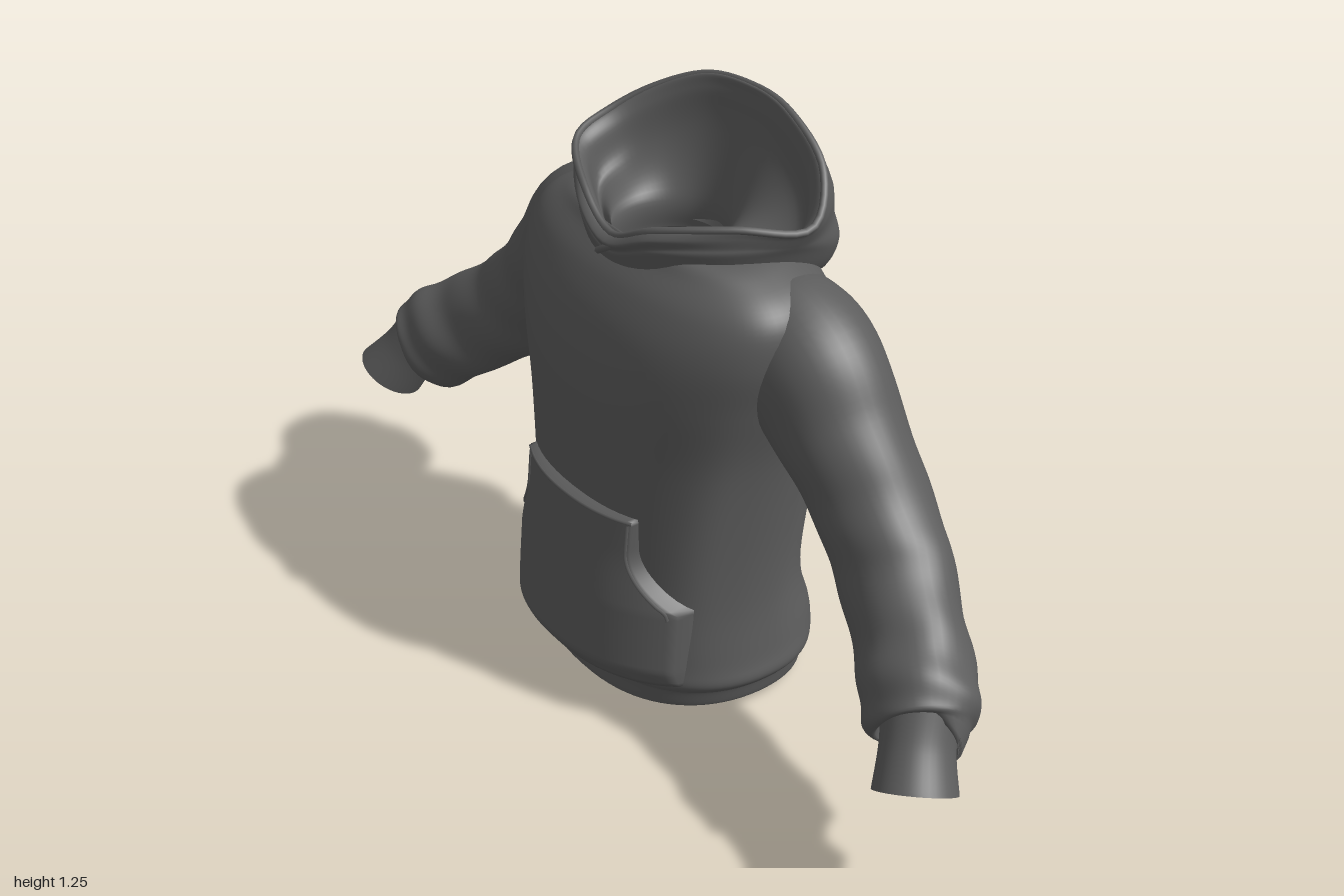
import * as THREE from 'three';

const V = (x, y, z) => new THREE.Vector3(x, y, z);
const fabric = new THREE.MeshStandardMaterial({ color: 0x5c5c5c, side: THREE.DoubleSide });
fabric.name = 'charcoal fabric';

// Catmull-Rom interpolation through rows of numbers
function mix(rows, t) {
  const f = t * (rows.length - 1), i = Math.min(Math.floor(f), rows.length - 2), u = f - i;
  const p = k => rows[Math.max(0, Math.min(rows.length - 1, i + k))];
  return rows[0].map((_, n) => {
    const a = p(-1)[n], b = p(0)[n], c = p(1)[n], d = p(2)[n];
    return 0.5 * (2 * b + (c - a) * u + (2 * a - 5 * b + 4 * c - d) * u * u + (3 * b - a - 3 * c + d) * u ** 3);
  });
}

// Skin a surface over rings of points
function loft(name, rings, closed = true) {
  const n = rings[0].length, idx = [];
  for (let j = 0; j < rings.length - 1; j++) {
    for (let i = 0; i < (closed ? n : n - 1); i++) {
      const a = j * n + i, b = j * n + (i + 1) % n;
      idx.push(a, b, a + n, b, b + n, a + n);
    }
  }
  const g = new THREE.BufferGeometry().setFromPoints(rings.flat());
  g.setIndex(idx);
  g.computeVertexNormals();
  const mesh = new THREE.Mesh(g, fabric);
  mesh.name = name;
  return mesh;
}

function seam(name, points, radius, closed = false) {
  const curve = new THREE.CatmullRomCurve3(points, closed);
  const mesh = new THREE.Mesh(new THREE.TubeGeometry(curve, 72, radius, 6, closed), fabric);
  mesh.name = name;
  return mesh;
}

const range = (n, fn) => Array.from({ length: n + 1 }, (_, i) => fn(i / n, i));
const POWER = 2.3, MID = 0.02;

// Body: height, half width, front z, back z, from inside the hem up to the neck
function torso() {
  const rows = [
    [0.10, 0.29, 0.24, -0.19], [0.02, 0.295, 0.25, -0.20], [0.0, 0.305, 0.26, -0.21],
    [0.05, 0.315, 0.262, -0.21], [0.06, 0.325, 0.27, -0.212], [0.09, 0.338, 0.28, -0.22],
    [0.15, 0.328, 0.278, -0.222], [0.27, 0.314, 0.272, -0.188], [0.42, 0.314, 0.272, -0.21],
    [0.60, 0.33, 0.27, -0.235], [0.75, 0.365, 0.262, -0.237], [0.86, 0.39, 0.238, -0.232],
    [0.94, 0.38, 0.20, -0.20], [0.99, 0.32, 0.16, -0.16], [1.015, 0.22, 0.14, -0.13],
    [0.95, 0.115, 0.13, -0.09]];
  const bend = v => Math.sign(v) * Math.abs(v) ** (2 / POWER);
  return loft('body', range(96, t => {
    const [y, w, zf, zb] = mix(rows, t);
    return range(79, (_, i) => {
      const a = i / 80 * Math.PI * 2, c = Math.cos(a), s = Math.sin(a);
      // shallow drape folds at the sides and back
      const fold = y > 0.12 && y < 0.9
        ? 0.006 * Math.sin(9 * a + 5 * y) * (1 - Math.max(0, s)) * Math.sin((y - 0.12) / 0.78 * Math.PI) : 0;
      const lift = Math.max(0, 1 - y / 0.12) * (0.025 * c * c + 0.015 * Math.max(0, s));
      return V(bend(c) * (w + fold), y + lift, MID + bend(s) * ((s > 0 ? zf - MID : MID - zb) + fold));
    });
  }));
}

// Ring of points across a limb
function ring([x, y, z, a, b], dir, side, wrinkle = () => 1) {
  const t = dir.clone().normalize();
  const v = V(0, 0, 1).addScaledVector(t, -t.z).normalize();
  const u = v.clone().cross(t);
  return range(39, (_, i) => {
    const q = i / 40 * Math.PI * 2, k = wrinkle(q);
    const p = V(x, y, z).addScaledVector(u, a * k * Math.cos(q)).addScaledVector(v, b * k * Math.sin(q));
    p.x *= side;
    return p;
  });
}

function arm(side) {
  const group = new THREE.Group();
  group.name = side > 0 ? 'leftArm' : 'rightArm';
  // Sleeve: centre x, y, z, half height, half depth
  const rows = [
    [0.26, 0.85, -0.045, 0.15, 0.13], [0.36, 0.81, -0.045, 0.157, 0.138], [0.46, 0.715, -0.042, 0.13, 0.125],
    [0.55, 0.615, -0.04, 0.118, 0.115], [0.64, 0.52, -0.025, 0.122, 0.11], [0.74, 0.44, 0.02, 0.118, 0.105],
    [0.82, 0.382, 0.065, 0.12, 0.11], [0.87, 0.347, 0.095, 0.11, 0.10], [0.877, 0.342, 0.10, 0.072, 0.072]];
  group.add(loft('sleeve', range(70, t => {
    const p = mix(rows, Math.max(0, t - 0.02)), q = mix(rows, Math.min(1, t + 0.02));
    const amp = 0.008 + 0.03 * t * t;
    return ring(mix(rows, t), V(q[0] - p[0], q[1] - p[1], q[2] - p[2]), side,
      a => 1 + amp * Math.sin(2 * a + 42 * t) + amp * 0.6 * Math.sin(5 * a - 17 * t));
  })));
  // Cuff, flaring at the open end
  const cuff = [
    [0.855, 0.39, 0.085, 0.075, 0.08], [0.89, 0.33, 0.125, 0.068, 0.073], [0.93, 0.265, 0.162, 0.077, 0.083]];
  group.add(loft('cuff', range(16, t => ring(mix(cuff, t), V(0.4, -0.8, 0.4), side))));
  return group;
}

// Hood: rings start at the front and run past the left side, the back and the right side
function hood() {
  const mirrored = half => [...half, ...half.slice(1, -1).reverse().map(([x, y, z]) => [-0.92 * x, y, z])];
  const bulge = mirrored([[0, 0.98, 0.18], [0.13, 1.02, 0.157], [0.24, 1.03, 0.05], [0.28, 1.02, -0.08],
    [0.25, 0.99, -0.19], [0.13, 0.96, -0.285], [0, 0.94, -0.345]]);
  // the rim droops at the left and stands up at the right
  const rim = [[0, 1.02, 0.165], [0.12, 1.07, 0.15], [0.24, 1.09, 0.05], [0.305, 1.08, -0.08],
    [0.25, 1.16, -0.15], [0.12, 1.23, -0.17], [0, 1.24, -0.175], [-0.11, 1.232, -0.15],
    [-0.2, 1.19, -0.085], [-0.245, 1.145, -0.005], [-0.235, 1.115, 0.08], [-0.12, 1.07, 0.145]];
  // rings between bulge and rim, swelling along z
  const between = (f, swell) => bulge.map((p, i) => p.map((v, n) =>
    (v + (rim[i][n] - v) * f) * (n === 2 ? 1 + swell : 1)));
  const shrink = (points, k, drop) => points.map(([x, y, z]) => [x * k, y - drop, (z + 0.02) * k - 0.02]);
  const neck = y => range(11, (_, i) =>
    [0.115 * Math.sin(i * Math.PI / 6), y, 0.02 + 0.12 * Math.cos(i * Math.PI / 6)]);
  const loop = points => new THREE.CatmullRomCurve3(points.map(p => V(...p)), true);
  const rows = [shrink(bulge, 0.72, 0.05), shrink(bulge, 0.9, 0.06), bulge, between(0.35, 0.03),
    between(0.7, 0.1), rim, shrink(rim, 0.9, 0.02), shrink(rim, 0.8, 0.09), neck(1.0), neck(0.93)]
    .map(points => range(71, (_, i) => loop(points).getPoint(i / 72).toArray()).flat());
  const group = new THREE.Group();
  group.name = 'hood';
  group.add(loft('hoodShell', range(72, t => {
    const r = mix(rows, t);
    return range(71, (_, i) => V(r[3 * i], r[3 * i + 1], r[3 * i + 2]));
  })));
  group.add(seam('hoodRim', loop(rim).points, 0.008, true));
  // overlapping collar fold below the chin
  group.add(seam('collarFold', [V(0.07, 1.035, 0.165), V(0.01, 1.0, 0.18), V(-0.03, 0.975, 0.177)], 0.008));
  return group;
}

// Front pocket following the belly, with curved hand openings
const halfWidth = y => y < 0.28 ? 0.27
  : 0.18 + 0.09 * (1 - Math.sin(Math.PI / 2 * Math.min(1, (y - 0.28) / 0.13)));
const belly = x => MID + 0.255 * Math.max(0, 1 - (Math.abs(x) / 0.325) ** POWER) ** (1 / POWER);
function pocketPoint(u, y, edge = false) {
  const x = u * halfWidth(y), v = (y - 0.1) / 0.38;
  const puff = (0.068 - 0.05 * v ** 1.3) * (1 - 0.45 * u * u) * Math.min(1, 0.6 + v * 4);
  return V(x, y, belly(x) + (edge ? -0.015 : puff));
}

function pocket() {
  const group = new THREE.Group();
  group.name = 'frontPocket';
  const N = 40, clamp = i => Math.max(0, Math.min(1, (i - 1) / (N - 2)));
  group.add(loft('pocketPanel', range(N, (_, j) => range(N, (_, i) =>
    pocketPoint(clamp(i) * 2 - 1, 0.1 + 0.38 * clamp(j), i % N === 0 || j % N === 0))), false));
  for (const side of [-1, 1]) {
    group.add(seam('pocketOpeningSeam', range(14, t => pocketPoint(side * 0.95, 0.27 + 0.2 * t)), 0.004));
  }
  group.add(seam('pocketTopSeam', range(10, t => pocketPoint(t * 2 - 1, 0.475)), 0.004));
  return group;
}

export function createModel() {
  const model = new THREE.Group();
  model.name = 'hoodedSweatshirt';
  model.add(torso(), arm(1), arm(-1), hood(), pocket());
  return model;
}
